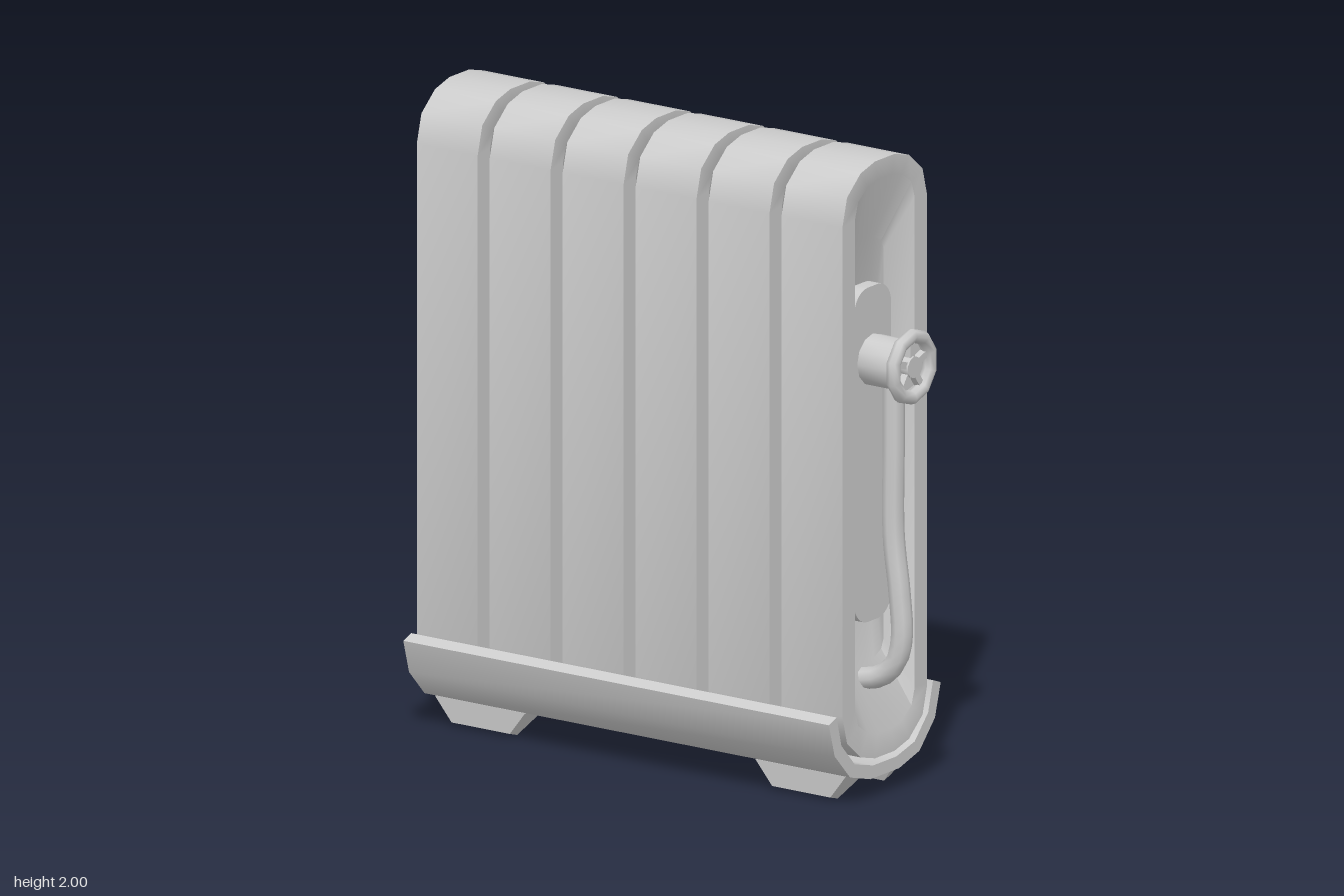
import * as THREE from 'three';
import { toCreasedNormals } from 'three/addons/utils/BufferGeometryUtils.js';

const material = new THREE.MeshStandardMaterial({ color: 0xcccccc });

function add(parent, name, geometry, x = 0, y = 0, z = 0) {
  const mesh = new THREE.Mesh(geometry, material);
  mesh.name = name;
  mesh.position.set(x, y, z);
  parent.add(mesh);
  return mesh;
}

// Tall loop with rounded ends, counter-clockwise seen from the front
const END = [[1, 0], [0.89, 0.53], [0.57, 0.88], [0.23, 1]];
function capsuleLoop(w, low, high, cap, z) {
  const top = END.map(([x, y]) => [x * w, high + y * cap, z]);
  const bottom = END.map(([x, y]) => [x * w, low - y * cap, z]);
  const flip = ([x, y, zz]) => [-x, y, zz];
  return [...top, ...top.map(flip).reverse(), ...bottom.map(flip), ...bottom.slice().reverse()];
}

// Skin a row of loops from front to back and close both ends
function loft(loops) {
  const pos = [];
  const n = loops[0].length;
  const first = loops[0], last = loops[loops.length - 1];
  const middle = (loop) => [0, loop.reduce((s, p) => s + p[1], 0) / n, loop[0][2]];
  for (let i = 0; i < n; i++) {
    const j = (i + 1) % n;
    pos.push(...middle(first), ...first[i], ...first[j]);
    for (let k = 0; k < loops.length - 1; k++) {
      const a = loops[k], b = loops[k + 1];
      pos.push(...a[i], ...b[i], ...b[j], ...a[i], ...b[j], ...a[j]);
    }
    pos.push(...middle(last), ...last[j], ...last[i]);
  }
  const g = new THREE.BufferGeometry();
  g.setAttribute('position', new THREE.Float32BufferAttribute(pos, 3));
  return toCreasedNormals(g, 0.7);
}

// Fin with a dished recess on both faces
function finGeometry(depth) {
  const h = depth / 2;
  const floor = (z) => capsuleLoop(0.12, 0.45, 1.67, 0.06, z);
  const lip = (z) => capsuleLoop(0.155, 0.3, 1.84, 0.1, z);
  const rim = (z) => capsuleLoop(0.22, 0.295, 1.83, 0.17, z);
  return loft([floor(h - 0.09), lip(h), rim(h), rim(-h), lip(-h), floor(0.09 - h)]);
}

// Rounded slab running through all the fins
function coreGeometry() {
  const w = 0.095, y0 = 0.54, y1 = 1.59, r = 0.07;
  const s = new THREE.Shape();
  s.moveTo(w, y0 + r);
  s.lineTo(w, y1 - r);
  s.absarc(w - r, y1 - r, r, 0, Math.PI / 2);
  s.absarc(r - w, y1 - r, r, Math.PI / 2, Math.PI);
  s.absarc(r - w, y0 + r, r, Math.PI, Math.PI * 1.5);
  s.absarc(w - r, y0 + r, r, Math.PI * 1.5, Math.PI * 2);
  const g = new THREE.ExtrudeGeometry(s, { depth: 1.49, bevelEnabled: false, curveSegments: 4 });
  return toCreasedNormals(g, 0.7);
}

// Curved tray under the fins
function trayGeometry() {
  const outer = [[0.29, 0.285], [0.26, 0.18], [0.18, 0.095], [0.075, 0.065]];
  const inner = [[0.25, 0.3], [0.225, 0.205], [0.155, 0.13], [0.06, 0.105]];
  const flip = ([x, y]) => [-x, y];
  const outline = [...outer.map(flip), ...outer.slice().reverse(), ...inner, ...inner.map(flip).reverse()];
  const s = new THREE.Shape(outline.map(([x, y]) => new THREE.Vector2(x, y)));
  const g = new THREE.ExtrudeGeometry(s, { depth: 1.58, bevelEnabled: false });
  return toCreasedNormals(g, 0.7);
}

// Tapered foot: a box whose corners are moved to a slanted wedge
function footGeometry(side) {
  const g = new THREE.BoxGeometry(2, 2, 2);
  const p = g.attributes.position;
  for (let i = 0; i < p.count; i++) {
    const out = p.getX(i) * side > 0, up = p.getY(i) > 0;
    const x = up ? (out ? 0.162 : 0.09) : (out ? 0.158 : 0.12);
    const y = up ? (out ? 0.088 : 0.068) : (out ? 0.012 : 0);
    p.setXYZ(i, side * x, y, Math.sign(p.getZ(i)) * (up ? 0.168 : 0.108));
  }
  return toCreasedNormals(g, 0.3);
}

// Valve: stem, ring, hub and spokes
function makeValve() {
  const valve = new THREE.Group();
  valve.name = 'valve';
  valve.position.set(0, 1.36, 0);
  const disc = (r, len, sides) => toCreasedNormals(new THREE.CylinderGeometry(r, r, len, sides).rotateX(Math.PI / 2), 0.7);
  add(valve, 'valveStem', disc(0.08, 0.13, 12), 0, 0, 0.745);
  add(valve, 'handwheelRing', new THREE.TorusGeometry(0.097, 0.022, 8, 10).rotateZ(Math.PI / 10), 0, 0, 0.829);
  add(valve, 'handwheelHub', disc(0.034, 0.03, 10), 0, 0, 0.825);
  for (let i = 0; i < 5; i++) {
    const spoke = new THREE.Group();
    spoke.name = 'spoke';
    spoke.rotation.z = (i * Math.PI * 2) / 5;
    add(spoke, 'spokeBar', new THREE.BoxGeometry(0.022, 0.07, 0.022), 0, 0.055, 0.823);
    valve.add(spoke);
  }
  return valve;
}

export function createModel() {
  const model = new THREE.Group();
  model.name = 'radiator';

  // Six fins in a row
  const fin = finGeometry(0.226);
  for (let i = 0; i < 6; i++) add(model, 'fin', fin, 0, 0, 0.617 - i * 0.2708);
  add(model, 'core', coreGeometry(), 0, 0, -0.805);

  // Tray and four feet
  add(model, 'tray', trayGeometry(), 0, 0, -0.85);
  for (const side of [-1, 1]) {
    for (const z of [0.533, -0.657]) add(model, 'foot', footGeometry(side), 0, 0, z);
  }

  // Valve and the pipe that bends back into the first fin
  model.add(makeValve());
  const path = [[1.34, 0.763], [1.1, 0.763], [0.82, 0.763], [0.64, 0.785], [0.5, 0.793],
    [0.42, 0.77], [0.37, 0.715], [0.345, 0.62], [0.3, 0.47]];
  const curve = new THREE.CatmullRomCurve3(path.map(([y, z]) => new THREE.Vector3(0, y, z)));
  add(model, 'pipe', new THREE.TubeGeometry(curve, 32, 0.034, 8, false));

  return model;
}
